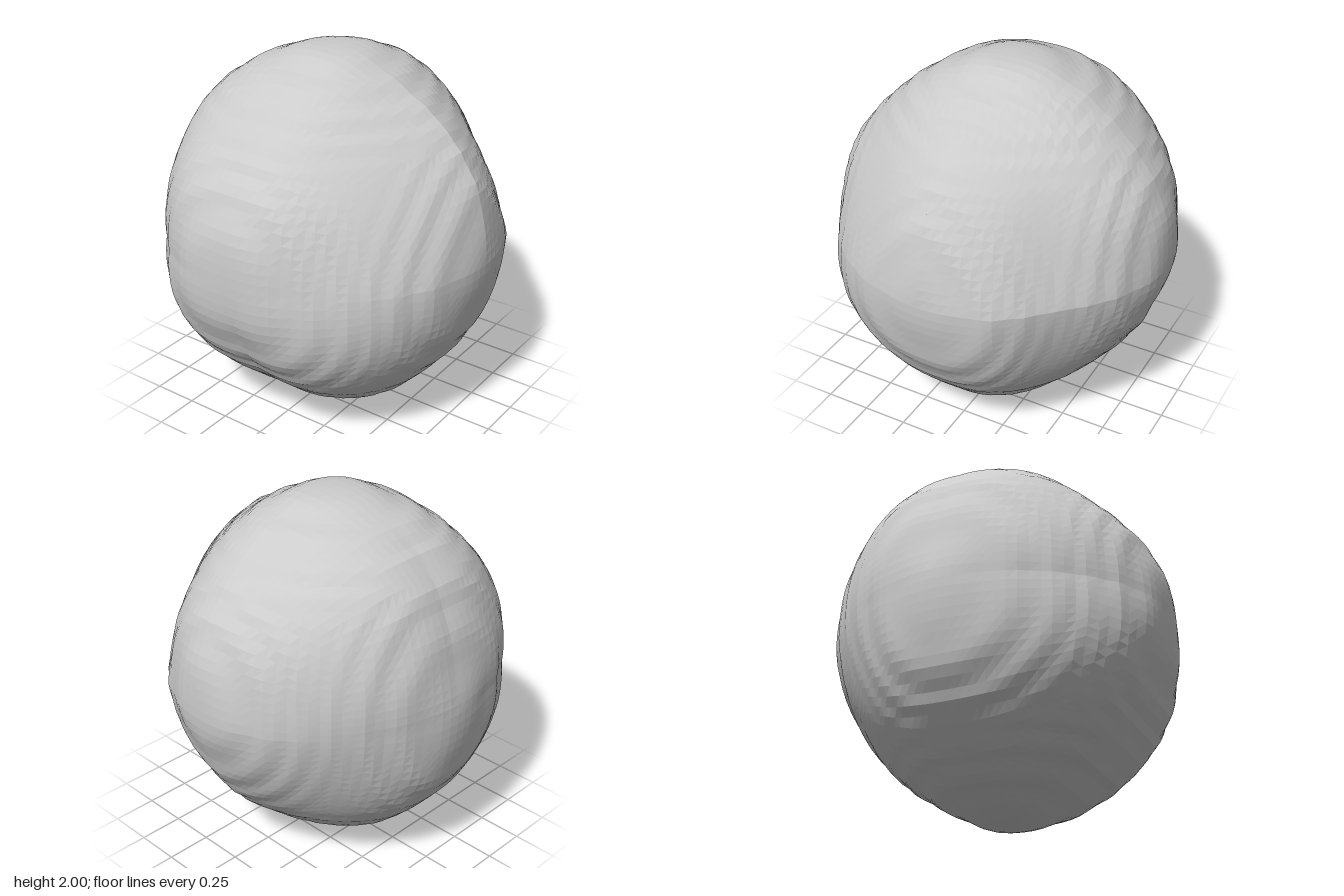
import * as THREE from 'three';

// Radii of the lump every 22.5 degrees, around each of the three main planes
const FRONT = [0.92, 0.94, 0.94, 0.935, 0.99, 1.0, 0.985, 0.92, 0.91, 0.945, 0.96, 0.975, 1.0, 0.985, 0.945, 0.93]; // +x to +y
const SIDE = [0.965, 0.97, 0.94, 0.96, 1.0, 0.995, 0.98, 0.98, 0.93, 0.92, 0.92, 0.935, 1.0, 0.955, 0.94, 0.955]; // +z to +y
const TOP = [0.92, 0.92, 0.92, 0.925, 0.96, 0.985, 0.95, 0.925, 0.92, 0.895, 0.9, 0.935, 0.97, 0.915, 0.87, 0.915]; // +x to +z

// Smoothly interpolated radius of a closed profile in direction (a, b)
function radiusAt(profile, a, b) {
  const n = profile.length;
  const t = ((Math.atan2(b, a) / (2 * Math.PI) + 1) % 1) * n;
  const i = Math.floor(t), f = t - i;
  const p = (k) => profile[(i + k + n) % n];
  const m0 = (p(1) - p(-1)) / 2, m1 = (p(2) - p(0)) / 2;
  const f2 = f * f, f3 = f2 * f;
  return (2 * f3 - 3 * f2 + 1) * p(0) + (f3 - 2 * f2 + f) * m0 + (3 * f2 - 2 * f3) * p(1) + (f3 - f2) * m1;
}

// Blend of the profiles, each strongest close to its own plane
function lumpRadius(d) {
  const weight = (c) => (1 - c * c) / (c * c + 0.03);
  const wf = weight(d.z), ws = weight(d.x), wt = weight(d.y);
  const r = (wf * radiusAt(FRONT, d.x, d.y) + ws * radiusAt(SIDE, d.z, d.y) + wt * radiusAt(TOP, d.x, d.z)) / (wf + ws + wt);
  // Between the planes the upper half leans to -x and the lower half to +z
  const corner = 5.2 * Math.abs(d.x * d.y * d.z);
  return r + corner * (d.y > 0 ? -0.02 - 0.07 * d.x : 0.01 + 0.06 * d.z);
}

// Shallow steps that form rings around the end of each axis
function terrace(c, tip) {
  const step = 0.1;
  const a = Math.abs(c);
  const amount = 0.006 * THREE.MathUtils.smoothstep(a, 0.5, 0.8);
  return c - Math.sign(c) * amount * Math.sin((2 * Math.PI * (a - tip)) / step);
}

export function createModel() {
  const group = new THREE.Group();
  group.name = 'lumpyBall';

  // Subdivided cube inflated into the lump
  const geometry = new THREE.BoxGeometry(2, 2, 2, 26, 26, 26);
  const pos = geometry.attributes.position;
  const d = new THREE.Vector3();
  for (let i = 0; i < pos.count; i++) {
    d.fromBufferAttribute(pos, i);
    d.set(Math.tan(d.x * Math.PI / 4), Math.tan(d.y * Math.PI / 4), Math.tan(d.z * Math.PI / 4)).normalize();
    d.multiplyScalar(lumpRadius(d));
    pos.setXYZ(i, terrace(d.x, 0.96), terrace(d.y, 1.0) + 1, terrace(d.z, 0.96));
  }
  geometry.computeVertexNormals();

  const ball = new THREE.Mesh(geometry, new THREE.MeshStandardMaterial({ color: 0xcccccc, flatShading: true }));
  ball.name = 'ball';
  group.add(ball);
  return group;
}
